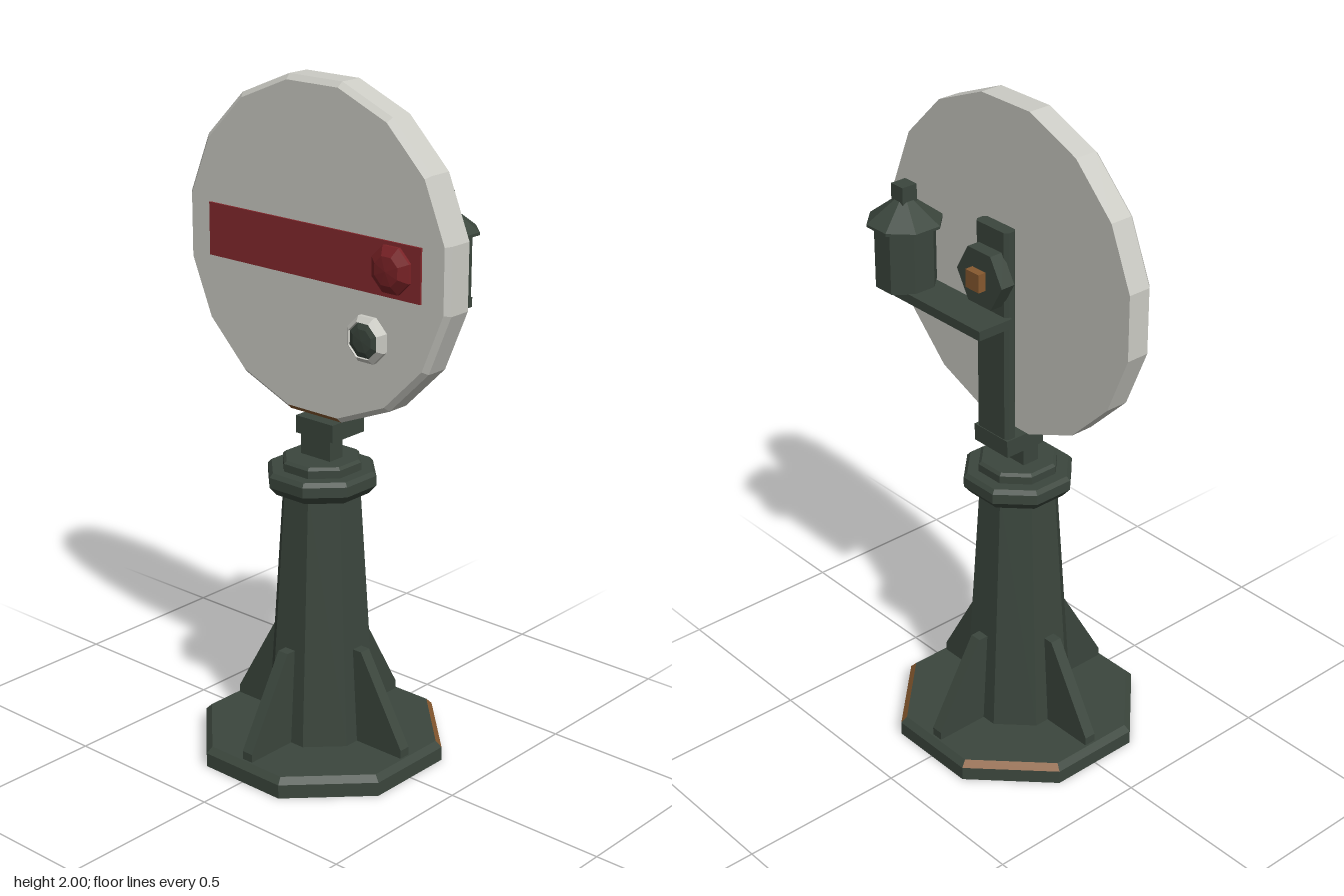
import * as THREE from 'three';

const iron = new THREE.MeshStandardMaterial({ color: 0x3b463d });
iron.name = 'dark green iron';
const white = new THREE.MeshStandardMaterial({ color: 0xcbcbc4 });
white.name = 'weathered white';
const red = new THREE.MeshStandardMaterial({ color: 0x85292d });
red.name = 'signal red';
const lensRed = new THREE.MeshStandardMaterial({ color: 0x7a2226 });
lensRed.name = 'lens red';
const rust = new THREE.MeshStandardMaterial({ color: 0x87592f });
rust.name = 'rust';

export function createModel() {
  const model = new THREE.Group();
  model.name = 'discSignal';

  // Flat-shaded mesh
  const add = (name, geometry, material, x = 0, y = 0, z = 0) => {
    const flat = geometry.index ? geometry.toNonIndexed() : geometry;
    flat.computeVertexNormals();
    const mesh = new THREE.Mesh(flat, material);
    mesh.name = name;
    mesh.position.set(x, y, z);
    model.add(mesh);
    return mesh;
  };

  const box = (name, w, h, d, material, x, y, z) =>
    add(name, new THREE.BoxGeometry(w, h, d), material, x, y, z);

  // Faceted turned shape; profile gives [distance to flat, height], bottom to top
  const turned = (profile, sides) => {
    const k = 1 / Math.cos(Math.PI / sides);
    const points = profile.map(([r, y]) => new THREE.Vector2(r * k, y));
    return new THREE.LatheGeometry(points, sides, Math.PI / sides);
  };
  // Same, but with its axis pointing forward
  const facing = (profile, sides) => turned(profile, sides).rotateX(Math.PI / 2);

  // Gives chosen facets of one profile band the second material
  const paintFacets = (mesh, bands, band, facets) => {
    const total = mesh.geometry.attributes.position.count;
    let from = 0;
    for (const facet of facets) {
      const start = (facet * bands + band) * 6;
      mesh.geometry.addGroup(from, start - from, 0);
      mesh.geometry.addGroup(start, 6, 1);
      from = start + 6;
    }
    mesh.geometry.addGroup(from, total - from, 0);
  };

  // Base plate with two rusted chamfers at the back
  const base = add('basePlate',
    turned([[0, 0], [0.345, 0], [0.345, 0.042], [0.328, 0.06], [0, 0.06]], 8), [iron, rust]);
  paintFacets(base, 4, 2, [2, 4]);

  // Tapered column, collar and cap
  add('column', turned([[0.155, 0.06], [0.108, 0.83]], 8), iron);
  add('collar', turned([[0, 0.815], [0.132, 0.815], [0.152, 0.84], [0.152, 0.87],
    [0.142, 0.882], [0, 0.882]], 8), iron);
  add('columnCap', turned([[0.11, 0.88], [0.11, 0.905], [0.102, 0.913], [0, 0.913]], 8), iron);

  // Four gussets around the column foot
  const gusset = new THREE.Shape([[0.1, 0.06], [0.322, 0.06], [0.322, 0.085], [0.168, 0.35], [0.1, 0.35]]
    .map(([x, y]) => new THREE.Vector2(x, y)));
  for (let i = 0; i < 4; i++) {
    const plate = new THREE.ExtrudeGeometry(gusset, { depth: 0.036, bevelEnabled: false });
    plate.translate(0, 0, -0.018).rotateY(i * Math.PI / 2);
    add('gusset', plate, iron);
  }

  // Neck, foot and post with chamfered corners
  box('neck', 0.11, 0.08, 0.055, iron, 0, 0.945, 0);
  box('postFoot', 0.14, 0.052, 0.135, iron, 0, 1.0, -0.035);
  const w = 0.065, c = 0.01;
  const section = new THREE.Shape([[-w, -0.01], [-w + c, -0.02], [w - c, -0.02], [w, -0.01],
    [w, 0.01], [w - c, 0.02], [-w + c, 0.02], [-w, 0.01]].map(([x, y]) => new THREE.Vector2(x, y)));
  add('post', new THREE.ExtrudeGeometry(section, { depth: 0.66, bevelEnabled: false })
    .rotateX(-Math.PI / 2), iron, 0, 1.0, -0.08);

  // Disc with a rusted chamfer at the bottom
  const disc = add('disc',
    facing([[0, -0.045], [0.48, -0.045], [0.48, 0.025], [0.465, 0.04], [0, 0.04]], 16),
    [white, rust], 0, 1.52, 0);
  paintFacets(disc, 4, 2, [15]);

  // Disc mounting
  add('hub', facing([[0.036, -0.065], [0.036, -0.04]], 8), iron, 0, 1.52, 0);
  add('hexBoss', facing([[0, -0.14], [0.08, -0.14], [0.08, -0.095]], 6)
    .rotateZ(0), iron, 0, 1.52, 0);
  box('rustyBolt', 0.054, 0.054, 0.03, rust, 0, 1.52, -0.15);

  // Painted band and lenses on the disc face
  box('redBand', 0.78, 0.155, 0.008, red, 0, 1.522, 0.042);
  add('redLens', facing([[0.065, 0.04], [0.065, 0.055], [0.04, 0.073], [0, 0.077]], 8),
    lensRed, 0.293, 1.524, 0);
  add('smallLensRing', facing([[0.065, 0.038], [0.065, 0.053], [0.05, 0.068], [0.047, 0.055]], 8),
    white, 0.207, 1.312, 0);
  add('smallLens', facing([[0.048, 0.045], [0.048, 0.063], [0.032, 0.07], [0, 0.072]], 8),
    iron, 0.207, 1.312, 0);

  // Lamp on its arm behind the disc
  const lx = 0.296, lz = -0.155;
  box('lampArm', 0.445, 0.028, 0.118, iron, 0.1475, 1.395, -0.146);
  add('lampBody', turned([[0, 1.405], [0.082, 1.405], [0.082, 1.6]], 8), iron, lx, 0, lz);
  add('lampRoof', turned([[0, 1.59], [0.101, 1.59], [0.101, 1.598], [0.026, 1.66], [0, 1.66]], 8),
    iron, lx, 0, lz);
  box('lampChimney', 0.05, 0.06, 0.05, iron, lx, 1.675, lz);

  return model;
}
